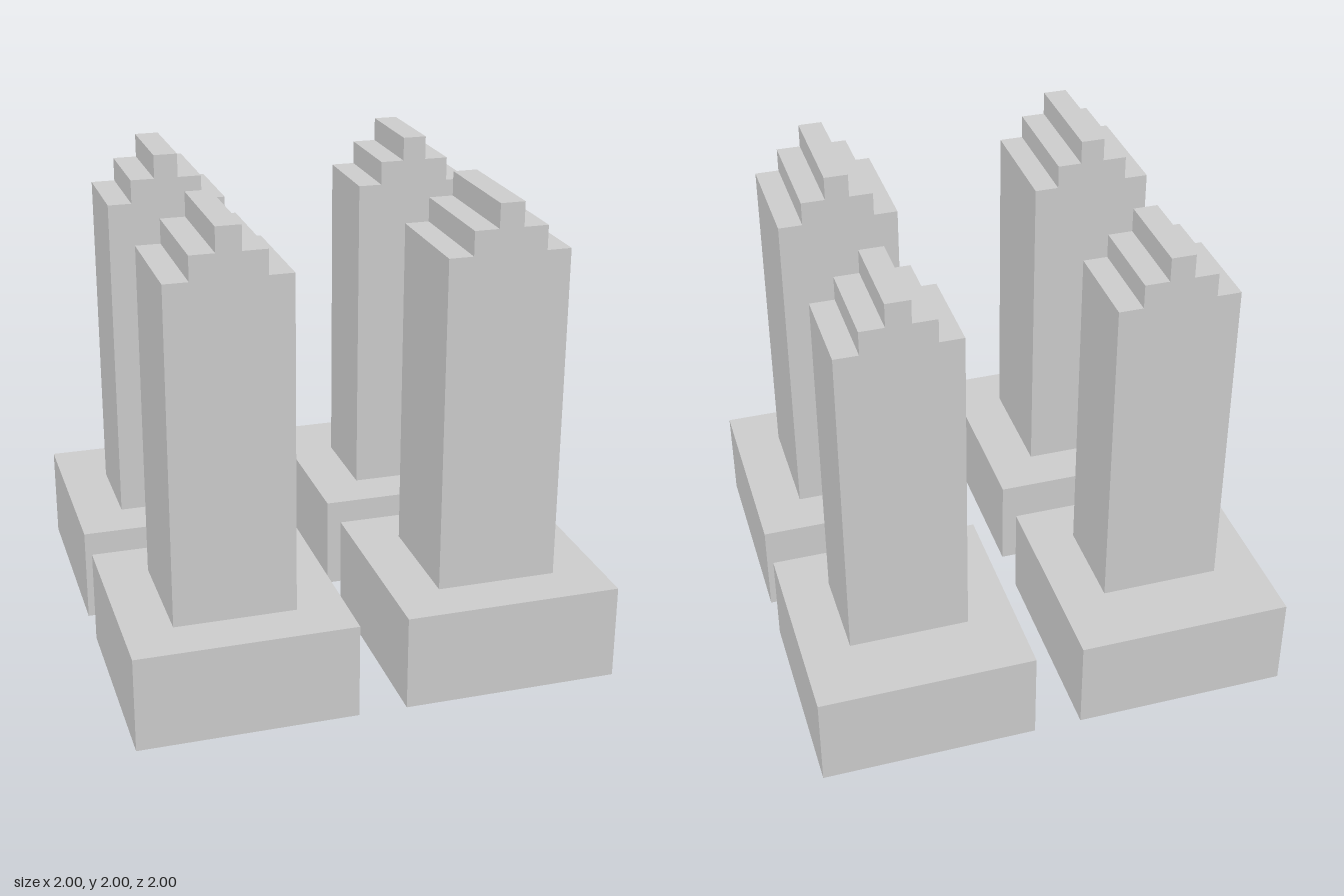
import * as THREE from 'three';

const material = new THREE.MeshStandardMaterial({ color: 0xcccccc, flatShading: true });

// Half outline of a tower: wall, then two roof steps up to the ridge
const halfOutline = [[0.25, 0.4], [0.25, 1.8], [0.15, 1.8], [0.15, 1.9], [0.05, 1.9], [0.05, 2]];

// Stepped tower, extruded along z and centred on its own axis
function towerGeometry(depth) {
  const mirrored = halfOutline.map(([x, y]) => [-x, y]).reverse();
  const shape = new THREE.Shape([...halfOutline, ...mirrored].map(([x, y]) => new THREE.Vector2(x, y)));
  return new THREE.ExtrudeGeometry(shape, { depth, bevelEnabled: false }).translate(0, 0, -depth / 2);
}

function addMesh(parent, name, geometry, x, y, z) {
  const mesh = new THREE.Mesh(geometry, material);
  mesh.name = name;
  mesh.position.set(x, y, z);
  parent.add(mesh);
}

export function createModel() {
  const model = new THREE.Group();
  model.name = 'fourTowers';

  const baseGeometry = new THREE.BoxGeometry(0.9, 0.4, 0.9);
  // The back towers are shallower than the front ones
  const rows = [
    { name: 'front', baseZ: 0.55, towerZ: 0.55, depth: 0.5 },
    { name: 'back', baseZ: -0.55, towerZ: -0.5, depth: 0.4 },
  ];

  for (const { name, baseZ, towerZ, depth } of rows) {
    const tower = towerGeometry(depth);
    for (const side of [1, -1]) {
      const building = new THREE.Group();
      building.name = name + (side > 0 ? 'Left' : 'Right') + 'Building';
      addMesh(building, 'base', baseGeometry, side * 0.55, 0.2, baseZ);
      addMesh(building, 'steppedTower', tower, side * 0.55, 0, towerZ);
      model.add(building);
    }
  }
  return model;
}
